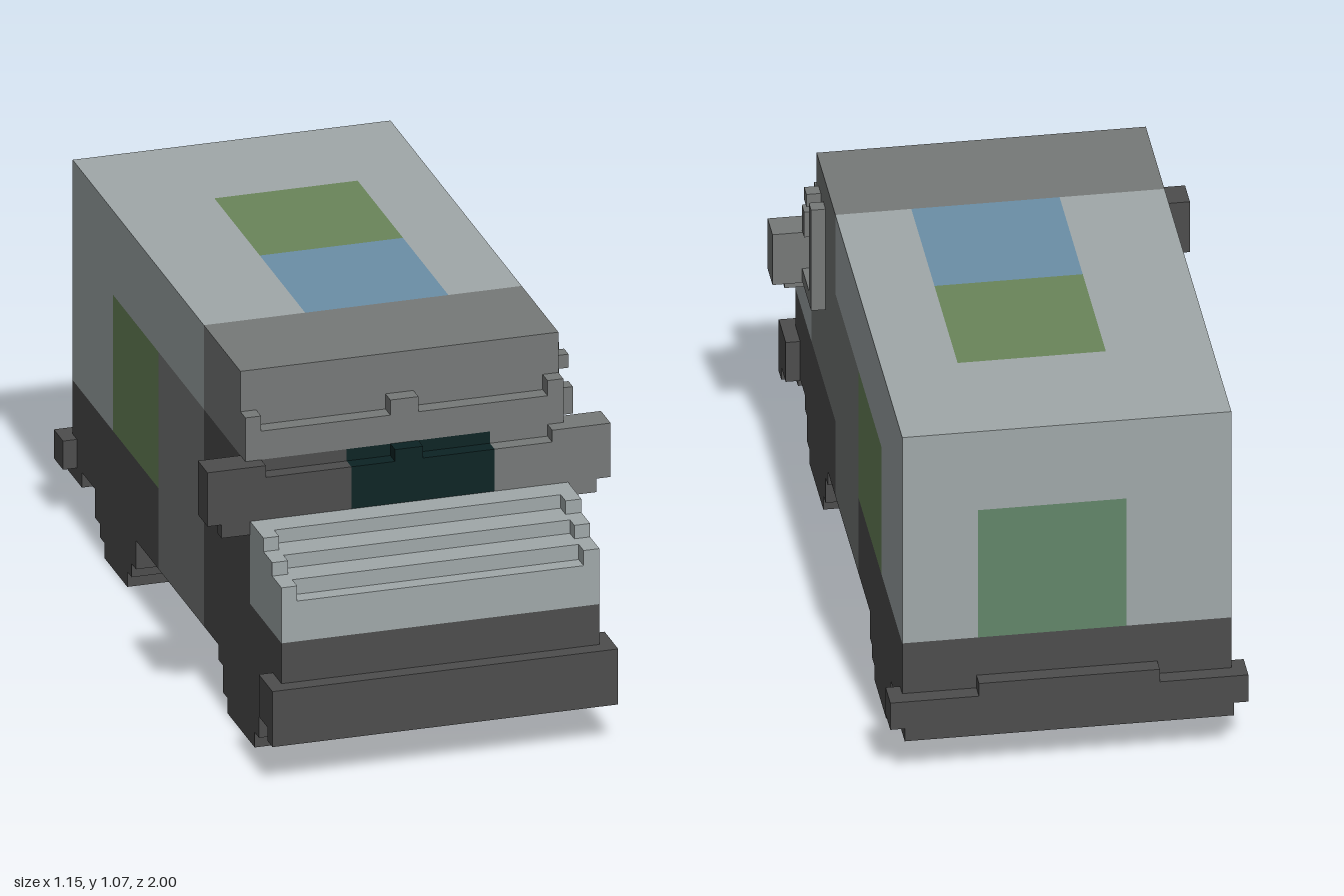
import * as THREE from 'three';

const mat = (name, color) => {
  const m = new THREE.MeshStandardMaterial({ color });
  m.name = name;
  return m;
};

// Paint zones: the van is divided into a coarse grid, one colour per zone
const CUTS = { x: [-0.165, 0.245], y: [0.41, 0.815], z: [-0.585, -0.17, 0.245, 0.668] };

// Colour keys by [height zone][across zone], five letters from rear to front
const ZONES = [
  ['DDMDD', 'DTDDD', 'DDMDD'],
  ['LGMDL', 'ELLTL', 'LGMML'],
  ['LLLMM', 'LGBMM', 'LLLMM'],
];

const pieces = (a, b, cuts) => {
  const p = [a, ...cuts.filter((c) => c > a + 1e-4 && c < b - 1e-4), b];
  return p.slice(1).map((v, i) => [p[i], v]);
};
const zone = (v, cuts) => cuts.filter((c) => v > c).length;

export function createModel() {
  const root = new THREE.Group();
  root.name = 'blockVan';
  const paint = {
    D: mat('dark grey', 0x4d4d4d),
    M: mat('mid grey', 0x767978),
    L: mat('light grey', 0xa0a8a9),
    G: mat('side green', 0x6a855a),
    E: mat('rear door green', 0x62866a),
    B: mat('roof blue', 0x6b8fa7),
    T: mat('deep teal', 0x0c2324),
  };

  const part = (name) => {
    const g = new THREE.Group();
    g.name = name;
    root.add(g);
    return g;
  };

  // A box cut along the paint zones; a fixed key overrides the zone colour
  const block = (g, [x0, x1], [y0, y1], [z0, z1], key) => {
    const cut = (a, b, axis) => (key ? [[a, b]] : pieces(a, b, CUTS[axis]));
    for (const [xa, xb] of cut(x0, x1, 'x'))
      for (const [ya, yb] of cut(y0, y1, 'y'))
        for (const [za, zb] of cut(z0, z1, 'z')) {
          const c = [(xa + xb) / 2, (ya + yb) / 2, (za + zb) / 2];
          const k = key || ZONES[zone(c[1], CUTS.y)][zone(c[0], CUTS.x)][zone(c[2], CUTS.z)];
          const m = new THREE.Mesh(new THREE.BoxGeometry(xb - xa, yb - ya, zb - za), paint[k]);
          m.position.set(...c);
          m.name = g.name + 'Block';
          g.add(m);
        }
  };
  const span = (s, a, b) => (s > 0 ? [a, b] : [-b, -a]);

  const W = 0.455;
  const full = [-W, W];

  // Main shell
  block(part('body'), full, [0.17, 1.065], [-0.955, 0.58]);

  // Stepped windscreen and bonnet: [top, rear z, front z]
  const windscreen = part('windscreen');
  for (const [top, z0, z1] of [[0.9, 0.58, 0.625], [0.78, 0.625, 0.668]])
    block(windscreen, full, [0.17, top], [z0, z1]);
  const bonnet = part('bonnet');
  for (const [top, z0, z1] of [[0.655, 0.668, 0.745], [0.615, 0.745, 0.83], [0.575, 0.83, 0.91], [0.53, 0.91, 0.955]])
    block(bonnet, full, [0.17, top], [z0, z1]);

  // Raised pillars and bonnet edges
  const pillars = part('windscreenPillars');
  for (const x of [[-W, -0.41], [-0.04, 0.04], [0.41, W]]) {
    block(pillars, x, [0.9, 0.945], [0.58, 0.625]);
    block(pillars, x, [0.78, 0.815], [0.625, 0.668]);
  }
  const edges = part('bonnetEdges');
  for (const s of [-1, 1])
    for (const [y0, y1, z0, z1] of [[0.615, 0.655, 0.745, 0.79], [0.575, 0.615, 0.83, 0.87], [0.53, 0.575, 0.91, 0.955]])
      block(edges, span(s, 0.41, W), [y0, y1], [z0, z1]);

  // Wing mirrors
  for (const s of [-1, 1]) {
    const mirror = part(s > 0 ? 'leftMirror' : 'rightMirror');
    block(mirror, span(s, W, 0.577), [0.655, 0.815], [0.58, 0.668]);
    block(mirror, span(s, W, 0.537), [0.615, 0.655], [0.625, 0.668]);
  }

  // Intake frame on the left side
  const intake = part('sideIntake');
  for (const [y0, y1, z0, z1] of [
    [0.66, 0.98, 0.42, 0.46], [0.66, 0.7, 0.46, 0.58],
    [0.94, 0.98, 0.505, 0.545], [0.82, 0.9, 0.545, 0.585],
  ]) block(intake, [W, 0.495], [y0, y1], [z0, z1]);

  // Bumpers
  const front = part('frontBumper');
  block(front, [-0.495, 0.495], [0.165, 0.29], [0.955, 1], 'D');
  block(front, full, [0.125, 0.165], [0.915, 1], 'D');
  const rear = part('rearBumper');
  block(rear, [-0.495, 0.495], [0.165, 0.25], [-1, -0.955], 'D');
  block(rear, [-0.25, 0.25], [0.25, 0.29], [-1, -0.955], 'D');
  block(rear, full, [0.125, 0.17], [-1, -0.87], 'D');
  for (const s of [-1, 1]) {
    block(front, span(s, W, 0.495), [0.165, 0.29], [0.875, 0.955], 'D');
    block(front, span(s, W, 0.495), [0.125, 0.165], [0.955, 1], 'D');
    block(rear, span(s, W, 0.495), [0.165, 0.25], [-0.955, -0.915], 'D');
  }

  // Stepped wheels joined by axles: [bottom, top, rear z, front z]
  const steps = {
    front: [[0, 0.045, 0.46, 0.71], [0.045, 0.125, 0.42, 0.75], [0.125, 0.17, 0.38, 0.79]],
    rear: [[0, 0.045, -0.665, -0.455], [0.045, 0.085, -0.705, -0.415], [0.085, 0.17, -0.75, -0.375]],
  };
  for (const [end, list] of Object.entries(steps)) {
    for (const s of [-1, 1]) {
      const wheel = part(end + (s > 0 ? 'Left' : 'Right') + 'Wheel');
      for (const [y0, y1, z0, z1] of list) block(wheel, span(s, 0.29, W), [y0, y1], [z0, z1], 'D');
    }
    const mid = end === 'front' ? 0.585 : -0.56;
    const axle = part(end + 'Axle');
    block(axle, [-0.29, 0.29], [0.085, 0.13], [mid - 0.1, mid + 0.1], 'D');
    block(axle, [-0.29, 0.29], [0.13, 0.17], [mid - 0.145, mid + 0.145], 'D');
  }
  return root;
}
